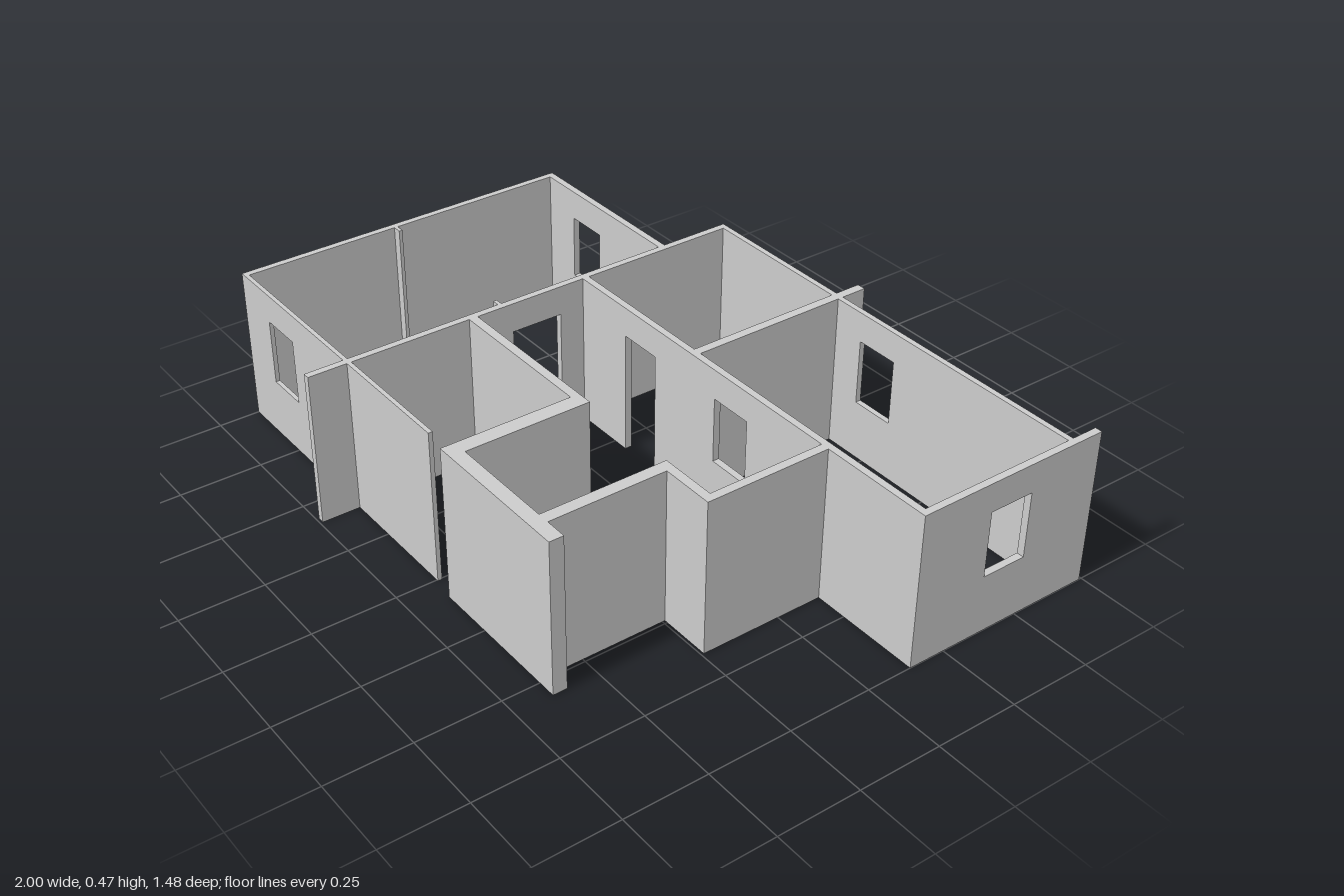
import * as THREE from 'three';

const HEIGHT = 0.47;
const SILL = 0.18;
const HEAD = 0.38;
const material = new THREE.MeshStandardMaterial({ color: 0xcccccc });

const windowAt = (from, to) => ({ from, to, door: false });
const doorAt = (from, to) => ({ from, to, door: true });

// Straight wall filling a plan rectangle; openings are measured along its longer side
function wall(name, x0, x1, z0, z1, openings = []) {
  const alongX = x1 - x0 >= z1 - z0;
  const [start, end] = alongX ? [x0, x1] : [z0, z1];
  const depth = alongX ? z1 - z0 : x1 - x0;

  // Elevation outline, with doors notched up from the floor
  const shape = new THREE.Shape();
  shape.moveTo(start, 0);
  for (const o of openings.filter((o) => o.door)) {
    shape.lineTo(o.from, 0);
    shape.lineTo(o.from, HEAD);
    shape.lineTo(o.to, HEAD);
    shape.lineTo(o.to, 0);
  }
  shape.lineTo(end, 0);
  shape.lineTo(end, HEIGHT);
  shape.lineTo(start, HEIGHT);
  shape.closePath();

  // Windows are holes
  for (const o of openings.filter((o) => !o.door)) {
    const hole = new THREE.Path();
    hole.moveTo(o.from, SILL);
    hole.lineTo(o.from, HEAD);
    hole.lineTo(o.to, HEAD);
    hole.lineTo(o.to, SILL);
    hole.closePath();
    shape.holes.push(hole);
  }

  const geometry = new THREE.ExtrudeGeometry(shape, { depth, bevelEnabled: false });
  if (alongX) {
    geometry.translate(0, 0, z0);
  } else {
    geometry.rotateY(-Math.PI / 2);
    geometry.translate(x1, 0, 0);
  }
  const mesh = new THREE.Mesh(geometry, material);
  mesh.name = name;
  return mesh;
}

export function createModel() {
  const house = new THREE.Group();
  house.name = 'housePlan';

  house.add(
    // Large room on the -x side
    wall('sideRoomOuterWall', -1, -0.98, -0.443, 0.625),
    wall('sideRoomBackWall', -0.98, -0.424, -0.443, -0.422, [windowAt(-0.855, -0.72)]),
    wall('sideRoomFrontWall', -0.98, 0.005, 0.612, 0.625, [windowAt(-0.855, -0.72)]),
    wall('outerNib', -0.98, -0.953, 0.124, 0.135),
    wall('innerNib', -0.447, -0.424, 0.124, 0.135),

    // Long wall running front to back
    wall('longDividingWall', -0.424, -0.403, -0.662, 0.742, [doorAt(-0.06, 0.1)]),

    // Back rooms
    wall('backWall', -0.403, 0.978, -0.662, -0.645, [windowAt(0.21, 0.345)]),
    wall('backRoomDivider', 0.083, 0.11, -0.742, -0.159),
    wall('backRoomEndWall', 0.978, 1, -0.742, -0.138, [windowAt(-0.508, -0.37)]),
    wall('middleWall', -0.403, 0.978, -0.159, -0.138, [doorAt(-0.2, -0.062), windowAt(0.2, 0.335)]),

    // Central hall and projecting entrance
    wall('hallEndWall', 0.626, 0.652, -0.138, 0.215),
    wall('hallShoulderWall', 0.453, 0.652, 0.215, 0.242),
    wall('hallFrontWall', -0.403, 0.128, 0.215, 0.242),
    wall('entranceInnerWall', 0.08, 0.128, 0.242, 0.594),
    wall('entranceOuterWall', 0.453, 0.49, 0.242, 0.594),
    wall('entranceFrontWall', 0.08, 0.557, 0.594, 0.637),
  );

  return house;
}
